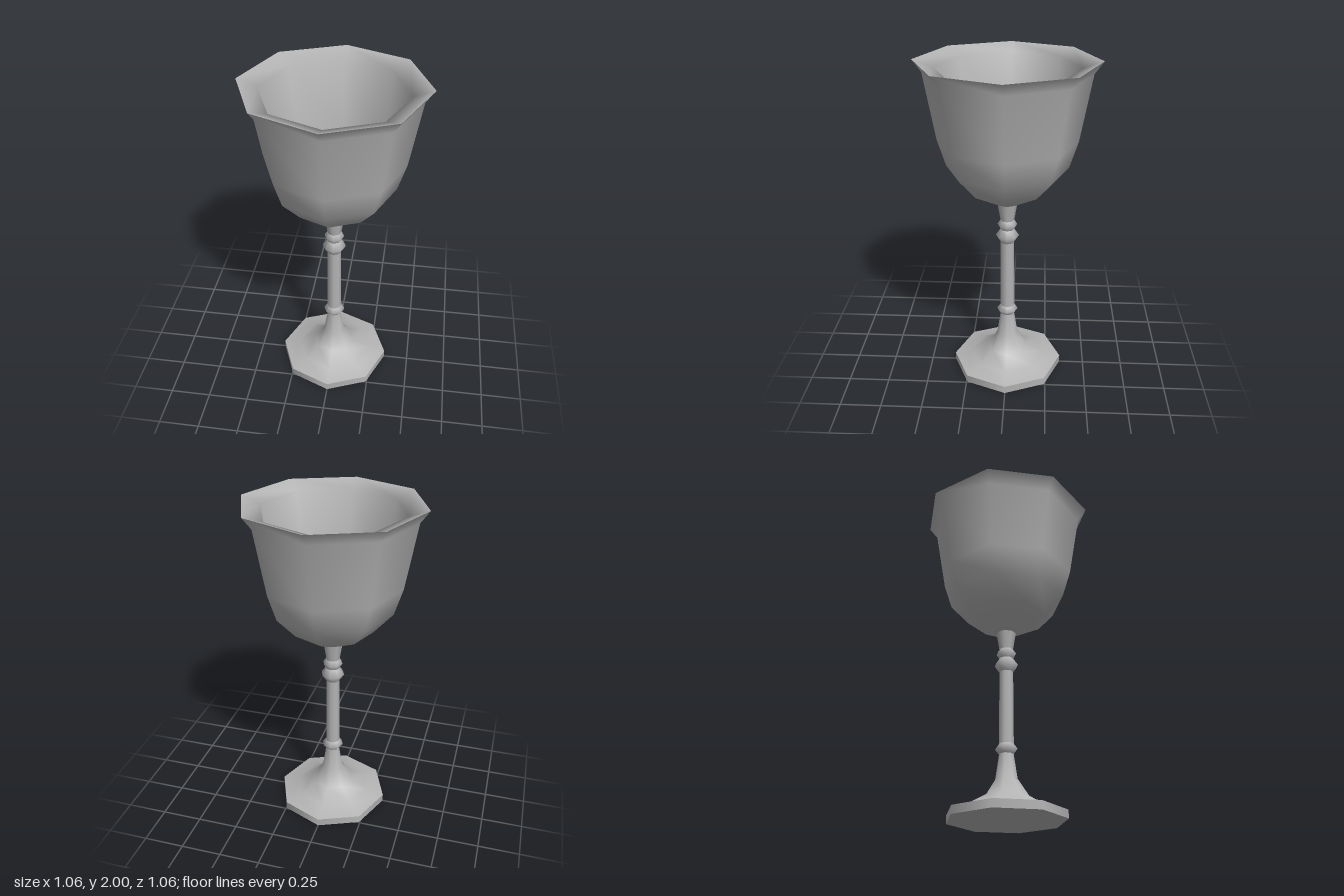
import * as THREE from 'three';

const SIDES = 8;

export function createModel() {
  const goblet = new THREE.Group();
  goblet.name = 'goblet';
  const metal = new THREE.MeshStandardMaterial({ color: 0xb4b4b4 });
  metal.name = 'greyMetal';

  // Turns a profile of [radius, height] pairs into an eight-sided part, smooth within itself
  const turn = (name, profile) => {
    const points = profile.map(([r, y]) => new THREE.Vector2(r, y));
    const mesh = new THREE.Mesh(new THREE.LatheGeometry(points, SIDES), metal);
    mesh.name = name;
    goblet.add(mesh);
  };

  // Foot: flat underside, short rim and a flared top rising into the stem
  turn('footUnderside', [[0, 0], [0.345, 0]]);
  turn('footRim', [[0.345, 0], [0.345, 0.048]]);
  turn('footFlare', [[0.345, 0.048], [0.235, 0.075], [0.13, 0.135], [0.065, 0.235], [0.043, 0.38]]);

  // Stem with its collars
  turn('lowerCollar', [[0.043, 0.38], [0.066, 0.41], [0.044, 0.44]]);
  turn('stem', [[0.044, 0.44], [0.042, 0.89]]);
  turn('middleCollar', [[0.042, 0.89], [0.071, 0.935], [0.042, 0.978]]);
  turn('upperCollar', [[0.042, 0.978], [0.06, 1.01], [0.042, 1.038]]);
  turn('stemTop', [[0.042, 1.038], [0.06, 1.147]]);

  // Bowl: outside with a flared lip, sloping rim, and hollow inside
  turn('bowlOutside', [[0.06, 1.147], [0.245, 1.25], [0.36, 1.38], [0.41, 1.54], [0.478, 1.93], [0.53, 2]]);
  turn('bowlInside', [[0.53, 2], [0.415, 1.96], [0.36, 1.56], [0.31, 1.41], [0.21, 1.3], [0, 1.2]]);

  return goblet;
}
